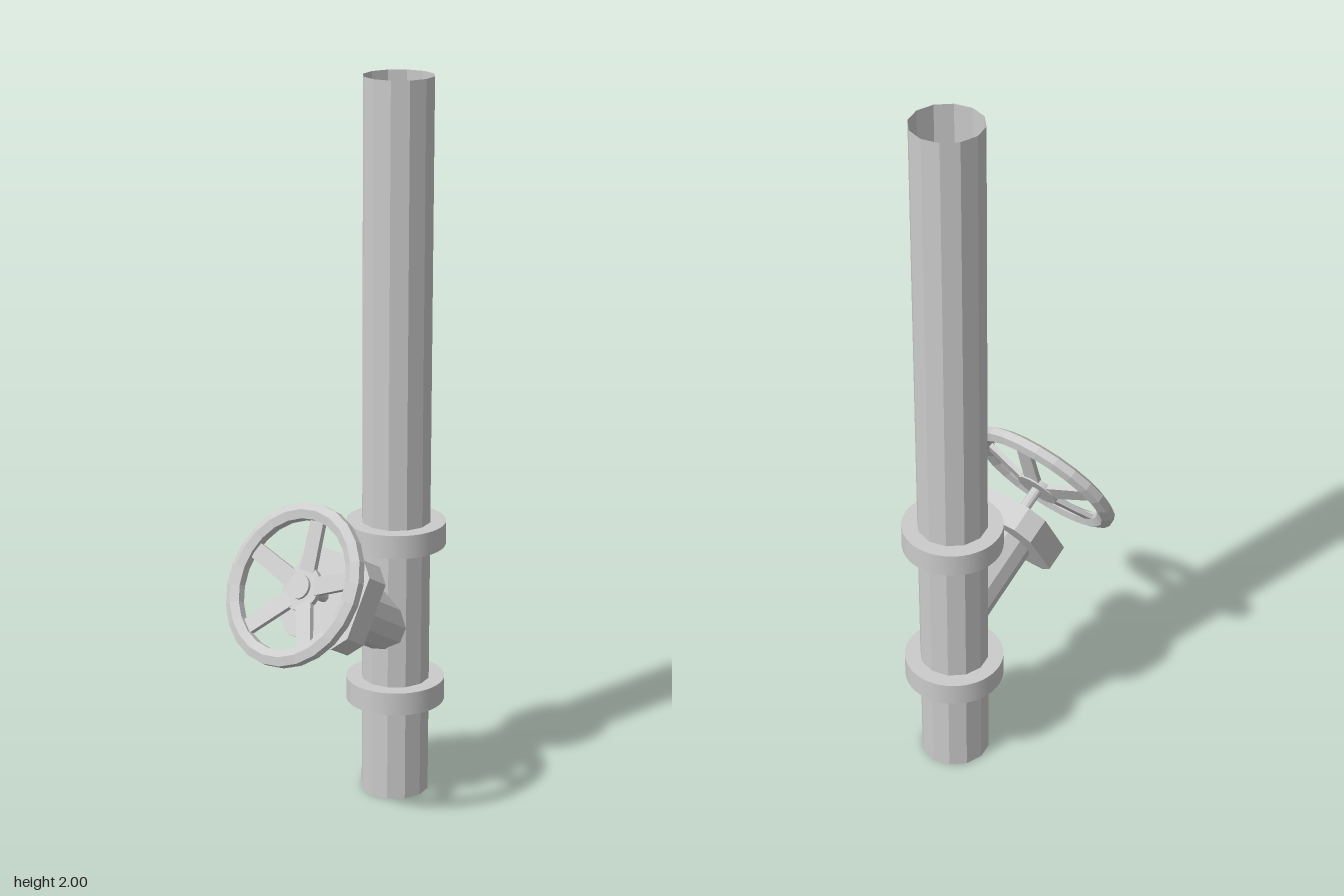
import * as THREE from 'three';

export function createModel() {
  const root = new THREE.Group();
  const flat = new THREE.MeshStandardMaterial({ color: 0xcccccc, flatShading: true });
  const smooth = new THREE.MeshStandardMaterial({ color: 0xcccccc });
  const open = new THREE.MeshStandardMaterial({ color: 0xcccccc, flatShading: true, side: THREE.DoubleSide });

  const add = (parent, name, geometry, material = flat) => {
    const mesh = new THREE.Mesh(geometry, material);
    mesh.name = name;
    parent.add(mesh);
    return mesh;
  };

  // Upright pipe, open at both ends, with two collars
  const PIPE_Z = -0.193;
  add(root, 'mainPipe', new THREE.CylinderGeometry(0.095, 0.095, 2, 12, 1, true), open)
    .position.set(0, 1, PIPE_Z);
  [['lowerCollar', 0.302], ['upperCollar', 0.757]].forEach(([name, y]) => {
    add(root, name, new THREE.CylinderGeometry(0.136, 0.136, 0.065, 48), smooth)
      .position.set(0, y, PIPE_Z);
  });

  // Valve: built around its own z axis, then tilted up 30 degrees
  const valve = new THREE.Group();
  valve.name = 'valve';
  valve.position.set(0, 0.708, 0.202);
  valve.rotation.x = -Math.PI / 6;
  root.add(valve);

  // Round part of the valve running along z from z0 to z1
  const rod = (name, r, z0, z1, sides, material = flat) => {
    const geometry = new THREE.CylinderGeometry(r, r, z1 - z0, sides).rotateX(Math.PI / 2);
    return add(valve, name, geometry.translate(0, 0, (z0 + z1) / 2), material);
  };
  rod('branchPipe', 0.082, -0.42, -0.2, 12);
  rod('stem', 0.015, -0.135, -0.04, 12);
  rod('hub', 0.062, -0.043, -0.028, 24, smooth);
  rod('hubBoss', 0.033, -0.03, -0.02, 24, smooth);

  // Bonnet block: a square with cut corners
  const h = 0.125, c = 0.085;
  const section = new THREE.Shape([
    [c, -h], [h, -c], [h, c], [c, h], [-c, h], [-h, c], [-h, -c], [-c, -h],
  ].map(([x, y]) => new THREE.Vector2(x, y)));
  add(valve, 'bonnet', new THREE.ExtrudeGeometry(section, { depth: 0.073, bevelEnabled: false }))
    .position.z = -0.204;

  // Handwheel rim with a hexagonal cross-section
  const profile = [];
  for (let i = 0; i <= 6; i++) {
    const a = Math.PI / 6 + (i * Math.PI) / 3;
    profile.push(new THREE.Vector2(0.2 + 0.0255 * Math.cos(a), 0.022 * Math.sin(a)));
  }
  add(valve, 'wheelRim', new THREE.LatheGeometry(profile, 24).rotateX(Math.PI / 2), open);

  // Five spokes, dished back from the rim to the hub
  for (let i = 0; i < 5; i++) {
    const spoke = new THREE.BoxGeometry(0.05, 0.15, 0.014).translate(0, 0.115, 0);
    const p = spoke.attributes.position;
    for (let k = 0; k < p.count; k++) {
      const t = (p.getY(k) - 0.04) / 0.15;
      p.setX(k, p.getX(k) * (1 - 0.1 * t));
      p.setZ(k, p.getZ(k) - 0.036 + 0.034 * t);
    }
    spoke.computeVertexNormals();
    add(valve, 'wheelSpoke', spoke).rotation.z = (i * 2 * Math.PI) / 5;
  }

  return root;
}
